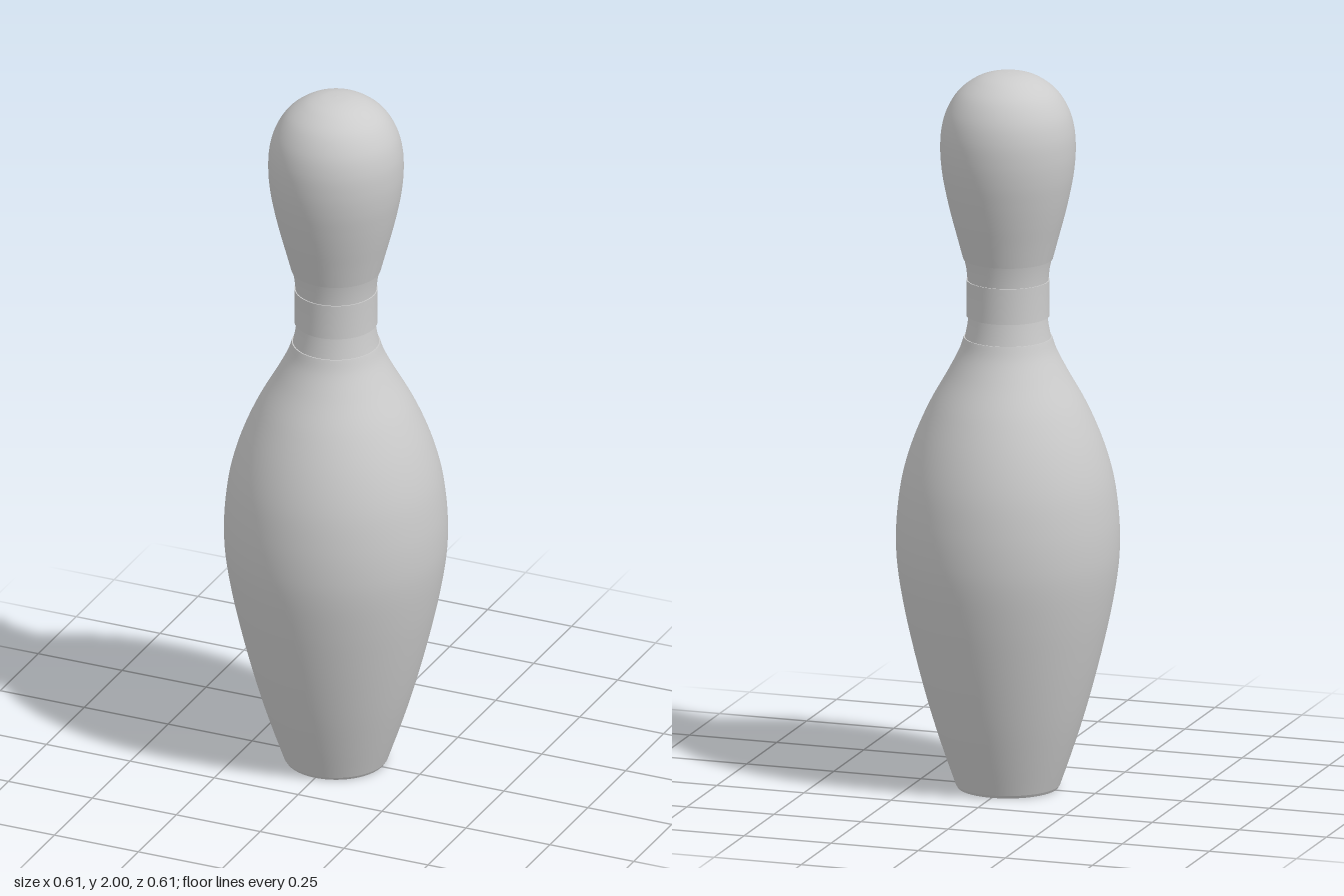
import * as THREE from 'three';

const SEGMENTS = 96;

// Turn a list of [radius, height] points into a named surface of revolution
function turned(name, points, material, samples = 0) {
  let profile = points.map(([r, y]) => new THREE.Vector2(r, y));
  if (samples) profile = new THREE.SplineCurve(profile).getPoints(samples);
  profile.forEach((p) => { p.x = Math.max(p.x, 0); });
  const mesh = new THREE.Mesh(new THREE.LatheGeometry(profile, SEGMENTS), material);
  mesh.name = name;
  return mesh;
}

export function createModel() {
  const group = new THREE.Group();
  group.name = 'bowlingPin';
  const material = new THREE.MeshStandardMaterial({ color: 0xcccccc });

  // Flat foot with a tiny bevelled rim
  group.add(turned('base', [[0, 0], [0.137, 0]], material));
  group.add(turned('baseRim', [[0.137, 0], [0.142, 0.008]], material));

  // Swelling belly that narrows towards the neck
  group.add(turned('belly', [
    [0.142, 0.008], [0.174, 0.1], [0.206, 0.2], [0.234, 0.3], [0.259, 0.4],
    [0.281, 0.5], [0.298, 0.6], [0.304, 0.68], [0.301, 0.77], [0.287, 0.87],
    [0.258, 0.97], [0.215, 1.07], [0.165, 1.16], [0.134, 1.22], [0.12, 1.26],
  ], material, 90));

  // Neck: two shallow recessed stripes around a straight collar
  group.add(turned('lowerStripe', [[0.117, 1.26], [0.111, 1.29], [0.107, 1.32]], material));
  group.add(turned('collar', [[0.113, 1.32], [0.112, 1.37], [0.113, 1.42]], material));
  group.add(turned('upperStripe', [[0.110, 1.42], [0.113, 1.45], [0.119, 1.48]], material));

  // Narrow ledges closing the stripe edges
  [
    [0.120, 0.117, 1.26], [0.107, 0.113, 1.32],
    [0.113, 0.110, 1.42], [0.119, 0.122, 1.48],
  ].forEach(([from, to, y]) => group.add(turned('stripeLedge', [[from, y], [to, y]], material)));

  // Rounded head
  group.add(turned('head', [
    [0.122, 1.48], [0.138, 1.54], [0.154, 1.6], [0.168, 1.66], [0.179, 1.72],
    [0.184, 1.78], [0.181, 1.84], [0.166, 1.895], [0.135, 1.945], [0.09, 1.98],
    [0.045, 1.996], [0, 2],
  ], material, 80));

  return group;
}
